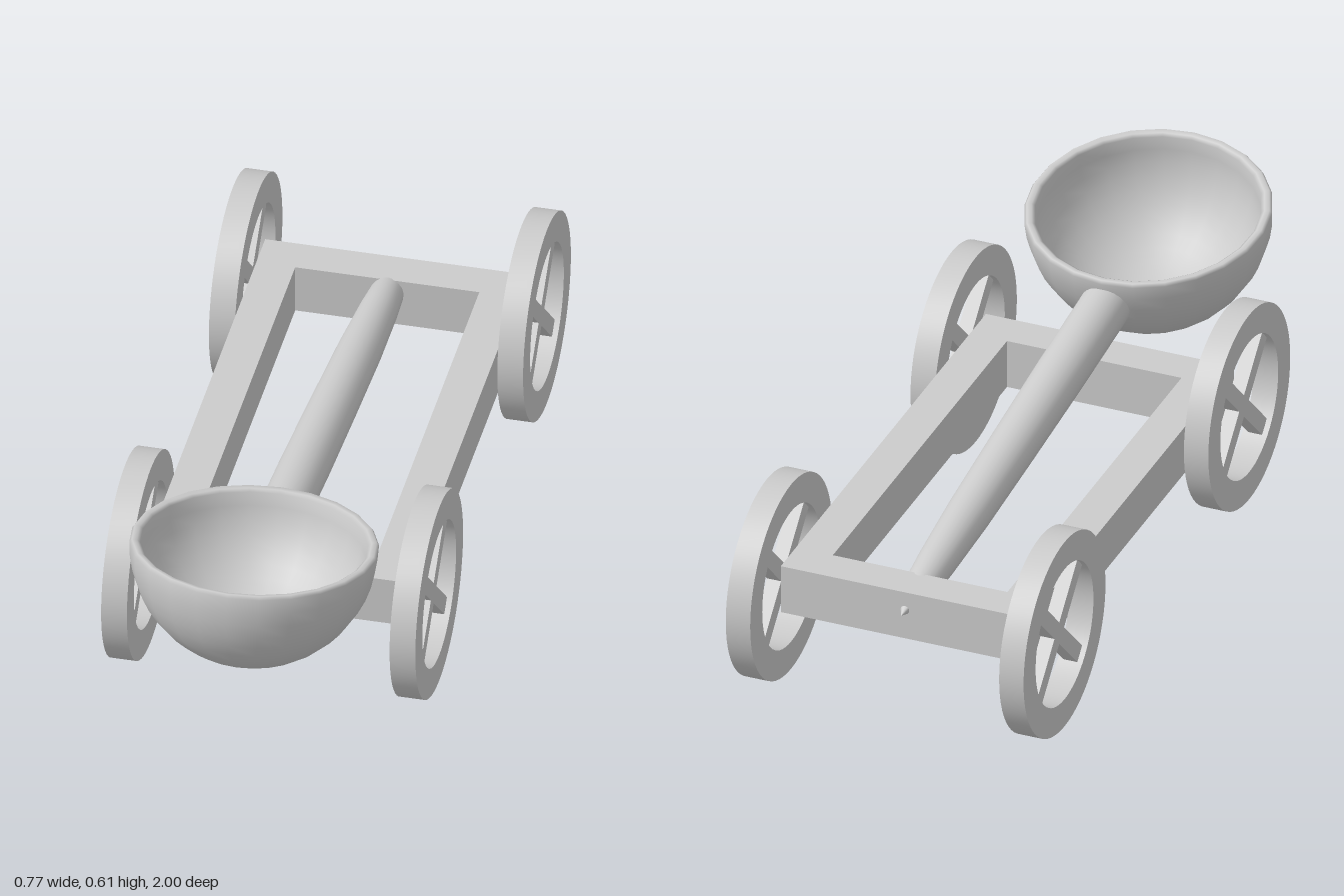
import * as THREE from 'three';
import { toCreasedNormals } from 'three/addons/utils/BufferGeometryUtils.js';

const material = new THREE.MeshStandardMaterial({ color: 0xcccccc });
const WHEEL_R = 0.255;

function part(name, geometry, parent) {
  const mesh = new THREE.Mesh(geometry, material);
  mesh.name = name;
  parent.add(mesh);
  return mesh;
}

// Flat ring-like shape extruded by depth, centred on its thickness
function extrude(shape, depth) {
  const geo = new THREE.ExtrudeGeometry(shape, { depth, bevelEnabled: false, curveSegments: 32 });
  geo.translate(0, 0, -depth / 2);
  return toCreasedNormals(geo, 0.6);
}

function rectangle(Type, x0, y0, x1, y1) {
  const r = new Type();
  r.moveTo(x0, y0);
  r.lineTo(x1, y0);
  r.lineTo(x1, y1);
  r.lineTo(x0, y1);
  r.closePath();
  return r;
}

// Rim with two crossed spokes; the axle runs along x
function createWheel(name) {
  const wheel = new THREE.Group();
  wheel.name = name;
  const ring = new THREE.Shape().absarc(0, 0, WHEEL_R, 0, Math.PI * 2);
  ring.holes.push(new THREE.Path().absarc(0, 0, 0.18, 0, Math.PI * 2, true));
  part('rim', extrude(ring, 0.063), wheel).rotation.y = Math.PI / 2;
  for (const s of [-1, 1]) {
    part('spoke', new THREE.BoxGeometry(0.036, 0.38, 0.042), wheel).rotation.x = s * Math.PI / 4;
  }
  return wheel;
}

const points = (list) => list.map(([x, y]) => new THREE.Vector2(x, y));

export function createModel() {
  const model = new THREE.Group();
  model.name = 'catapult';

  // Rectangular chassis, drawn in x / -z and laid flat
  const outline = rectangle(THREE.Shape, -0.32, -0.465, 0.32, 0.812);
  outline.holes.push(rectangle(THREE.Path, -0.225, -0.367, 0.225, 0.717));
  const chassis = part('chassis', extrude(outline, 0.127), model);
  chassis.rotation.x = -Math.PI / 2;
  chassis.position.y = 0.257;

  // Four wheels
  for (const [end, z] of [['front', 0.405], ['back', -0.745]]) {
    for (const [side, s] of [['Left', 1], ['Right', -1]]) {
      const wheel = createWheel(end + side + 'Wheel');
      wheel.position.set(s * 0.3525, WHEEL_R, z);
      model.add(wheel);
    }
  }

  // Throwing arm, tapering to a point at the back
  const arm = part('throwingArm', new THREE.LatheGeometry(points([
    [0, 0], [0.012, 0.025], [0.03, 0.075], [0.041, 0.125], [0.047, 0.22], [0.054, 0.42],
    [0.058, 0.7], [0.061, 1.0], [0.061, 1.285], [0, 1.285],
  ]), 24), model);
  arm.geometry = toCreasedNormals(arm.geometry, 0.7);
  arm.position.set(0, 0.268, -0.835);
  arm.rotation.x = Math.PI / 2 - 0.127;

  // Bowl: outer shell up to a thin lip, then down the inside
  const profile = [];
  for (let i = 0; i <= 12; i++) {
    const a = (i / 12) * Math.PI / 2;
    profile.push([0.298 * Math.sin(a), -0.298 * Math.cos(a)]);
  }
  profile.push([0.292, 0.008], [0.28, 0.006]);
  for (let i = 12; i >= 0; i--) {
    const a = (i / 12) * Math.PI / 2;
    profile.push([0.272 * Math.sin(a), -0.268 * Math.cos(a)]);
  }
  const bowl = part('bowl', new THREE.LatheGeometry(points(profile), 24), model);
  bowl.position.set(0, 0.553, 0.703);
  bowl.rotation.x = -0.163;

  return model;
}
